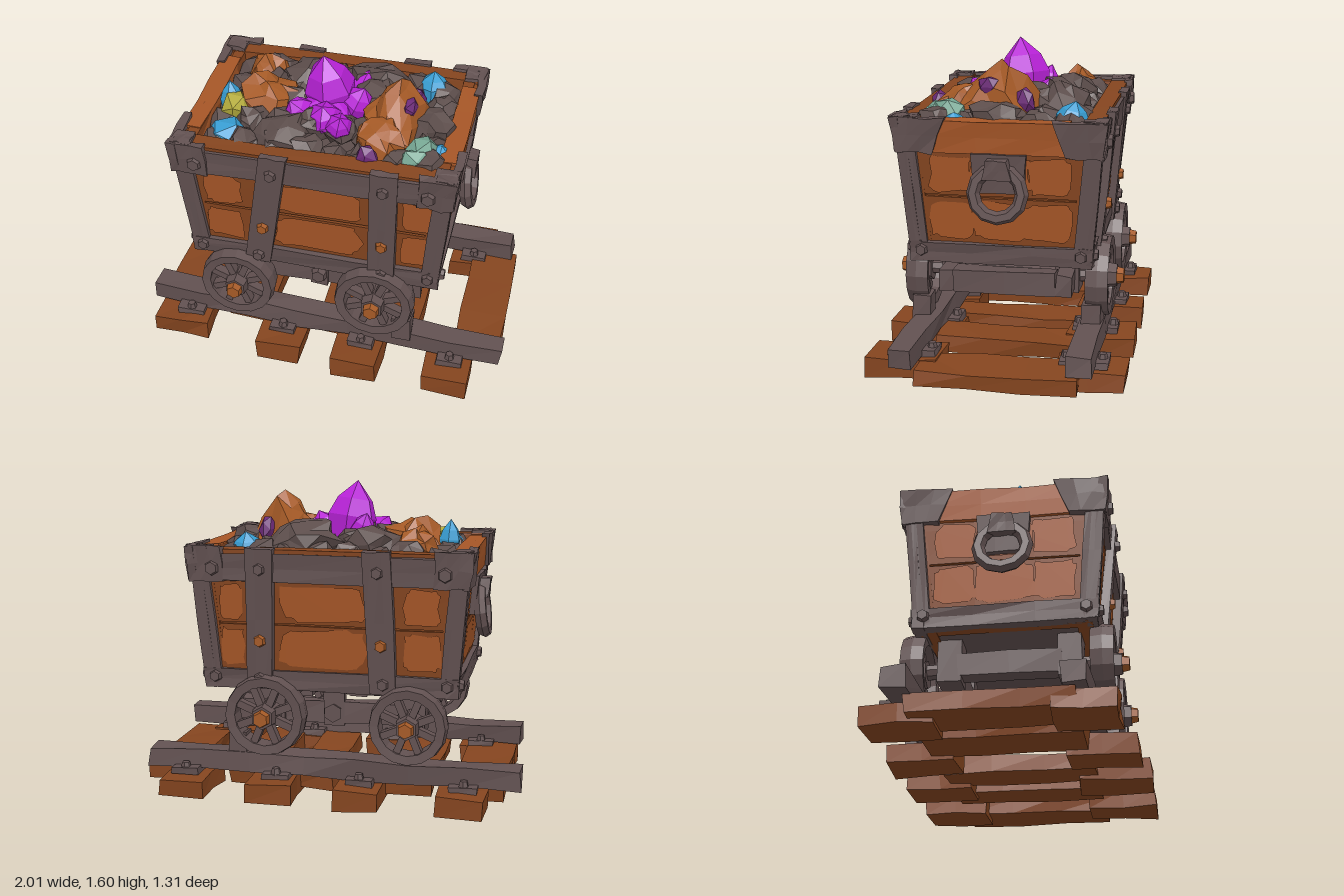
import * as THREE from 'three';

const mat = (name, color) => {
  const m = new THREE.MeshStandardMaterial({ color, flatShading: true });
  m.name = name;
  return m;
};
const lerp = THREE.MathUtils.lerp;

// Repeatable noise from a position, so coincident corners move together
const hash = (x, y, z, s) => {
  const v = Math.sin(x * 127.1 + y * 311.7 + z * 74.7 + s * 53.3) * 43758.5453;
  return v - Math.floor(v) - 0.5;
};
function chip(geo, amount, seed = 1) {
  const p = geo.attributes.position;
  for (let i = 0; i < p.count; i++) {
    const c = [p.getX(i), p.getY(i), p.getZ(i)].map((v) => Math.round(v * 1000) / 1000 + 0);
    p.setXYZ(i, ...c.map((v, k) => v + amount * hash(...c, seed + k)));
  }
  geo.computeVertexNormals();
  return geo;
}

export function createModel() {
  const M = {
    metal: mat('dark iron', 0x625151), wood: mat('warm wood', 0xa65627), darkWood: mat('dark wood', 0x85451f),
    ore: mat('copper ore', 0xa55a26), rock: mat('rock', 0x5c4d4b), purple: mat('purple crystal', 0xb722d6),
    violet: mat('deep violet crystal', 0x6c2a78), blue: mat('blue crystal', 0x389dd2),
    teal: mat('teal crystal', 0x76a693), yellow: mat('yellow crystal', 0xb3aa3c),
  };
  const model = new THREE.Group();
  model.name = 'mineCart';
  let seed = 0;
  const add = (parent, name, geo, material, x = 0, y = 0, z = 0) => {
    const m = new THREE.Mesh(geo, material);
    m.name = name;
    m.position.set(x, y, z);
    parent.add(m);
    return m;
  };
  // Rough-cut block between two corners
  const block = (parent, name, material, x0, x1, y0, y1, z0, z1, rough = 0.012) => {
    const w = x1 - x0, h = y1 - y0, d = z1 - z0;
    const g = new THREE.BoxGeometry(w, h, d, Math.ceil(w / 0.3), 1, Math.ceil(d / 0.3));
    return add(parent, name, chip(g, rough, seed++), material, (x0 + x1) / 2, (y0 + y1) / 2, (z0 + z1) / 2);
  };
  const bolt = (parent, x, y, z, material = M.metal, r = 0.035, len = 0.03) => {
    const b = add(parent, 'bolt', new THREE.CylinderGeometry(r * 0.75, r, len, 6), material, x, y, z);
    b.rotation.x = Math.PI / 2;
  };

  // Track: middle planks between the rails, staggered against end blocks
  const track = new THREE.Group();
  track.name = 'track';
  model.add(track);
  for (const [x0, x1] of [[-0.92, -0.66], [-0.55, -0.31], [-0.04, 0.18], [0.28, 0.51], [0.72, 0.965]]) {
    block(track, 'sleeper', M.darkWood, x0, x1, 0.04, 0.125, -0.42, 0.37, 0.02);
  }
  for (const [x0, x1, z0, z1] of [[-0.84, -0.6, -0.65, -0.3], [-0.32, -0.09, -0.65, -0.3], [0.13, 0.37, -0.65, -0.3],
    [0.59, 0.83, -0.64, -0.3], [-0.92, -0.62, 0.25, 0.55], [-0.32, -0.08, 0.25, 0.61], [0.1, 0.35, 0.27, 0.65],
    [0.59, 0.83, 0.28, 0.65]]) {
    block(track, 'sleeperEnd', M.darkWood, x0, x1, 0.015, 0.12, z0, z1, 0.02);
  }
  // Rails with chairs and spikes
  for (const [x, z, turn] of [[0.015, 0.395, -0.033], [-0.035, -0.44, -0.005]]) {
    const rail = block(track, 'rail', M.metal, x - 0.97, x + 0.97, 0.13, 0.235, z - 0.06, z + 0.06, 0.02);
    rail.rotation.y = turn;
    for (const sx of [-0.73, -0.2, 0.235, 0.72]) {
      const zc = z - sx * turn;
      block(track, 'railChair', M.metal, sx - 0.07, sx + 0.07, 0.115, 0.15, zc - 0.12, zc + 0.12);
      for (const s of [-1, 1]) {
        add(track, 'spike', new THREE.CylinderGeometry(0.02, 0.028, 0.035, 6), M.metal, sx, 0.16, zc + s * 0.09);
      }
    }
  }

  // Wheels
  const chassis = new THREE.Group();
  chassis.name = 'chassis';
  model.add(chassis);
  const rimProfile = [[0.155, -0.055], [0.205, -0.06], [0.213, 0], [0.203, 0.055], [0.155, 0.05], [0.155, -0.055]]
    .map(([r, y]) => new THREE.Vector2(r, y));
  for (const side of [1, -1]) {
    for (const [x, y, s] of [[-0.44, 0.425, 0.95], [0.3, 0.44, 1]]) {
      const wheel = new THREE.Group();
      wheel.name = 'wheel';
      wheel.position.set(x, y, side * 0.465);
      wheel.rotation.y = side > 0 ? 0 : Math.PI;
      wheel.scale.set(s, s, 1);
      chassis.add(wheel);
      add(wheel, 'wheelRim', new THREE.LatheGeometry(rimProfile, 16), M.metal).rotation.x = Math.PI / 2;
      for (let i = 0; i < 8; i++) {
        const a = ((i + 0.5) / 8) * Math.PI * 2;
        const spoke = add(wheel, 'spoke', new THREE.BoxGeometry(0.12, 0.038, 0.05), M.metal,
          Math.cos(a) * 0.11, Math.sin(a) * 0.11, 0.01);
        spoke.rotation.z = a;
      }
      bolt(wheel, 0, 0, 0.02, M.metal, 0.08, 0.13);
      bolt(wheel, 0, 0, 0.09, M.ore, 0.052, 0.06);
      // Axle bearings
      const b0 = side > 0 ? 0.24 : -0.36;
      block(chassis, 'axleBearing', M.metal, x - 0.07, x + 0.07, 0.36, 0.6, b0, b0 + 0.12);
    }
    block(chassis, 'sideBeam', M.metal, -0.5, 0.52, 0.38, 0.49, side * 0.3 - 0.04, side * 0.3 + 0.04);
    bolt(chassis, -0.03, 0.44, side * 0.35, M.metal, 0.05, 0.05);
    block(chassis, 'sideBeamPlate', M.metal, -0.08, 0.02, 0.37, 0.54, side * 0.3 - 0.045, side * 0.3 + 0.045);
    block(chassis, 'brakeShoe', M.metal, 0.4, 0.5, 0.2, 0.34, side * 0.44 - 0.05, side * 0.44 + 0.05);
  }
  for (const x of [-0.44, 0.3]) {
    const axle = add(chassis, 'axle', new THREE.CylinderGeometry(0.04, 0.04, 0.9, 8), M.metal, x, 0.435, 0);
    axle.rotation.x = Math.PI / 2;
  }
  for (const x of [-0.46, 0.48]) block(chassis, 'crossBeam', M.metal, x - 0.05, x + 0.05, 0.38, 0.5, -0.26, 0.26);

  // Flared tub: each wall has its own frame with x along it and z outward
  const tub = new THREE.Group();
  tub.name = 'tub';
  tub.position.x = -0.03;
  model.add(tub);
  const Y0 = 0.57, Y1 = 1.31;
  for (let k = 0; k < 4; k++) {
    const end = k % 2 === 1;
    const alongX = (y) => lerp(0.625, 0.69, (y - Y0) / (Y1 - Y0));
    const alongZ = (y) => lerp(0.425, 0.49, (y - Y0) / (Y1 - Y0));
    const [out, half] = end ? [alongX, alongZ] : [alongZ, alongX];
    const wall = new THREE.Group();
    wall.name = end ? 'endWall' : 'sideWall';
    wall.rotation.y = (k * Math.PI) / 2;
    tub.add(wall);
    // Slab leaning with the wall: bottom span, top span, heights, inner and outer depth
    const slab = (name, material, bottom, top, y0, y1, d0, d1, rough = 0.008) => {
      const g = new THREE.BoxGeometry(1, 1, 1, 3, 2, 1), p = g.attributes.position;
      for (let i = 0; i < p.count; i++) {
        const t = p.getY(i) + 0.5, y = lerp(y0, y1, t);
        const u = lerp(lerp(bottom[0], top[0], t), lerp(bottom[1], top[1], t), p.getX(i) + 0.5);
        p.setXYZ(i, u, y, out(y) + lerp(d0, d1, p.getZ(i) + 0.5));
      }
      return add(wall, name, chip(g, rough, seed++), material);
    };
    const span = (y, e = 0) => [-half(y) - e, half(y) + e];
    // Worn patch of lighter wood with an uneven outline
    const patch = (u0, u1, y0, y1) => {
      const pts = [];
      for (let i = 0; i < 18; i++) {
        const a = (i / 18) * Math.PI * 2, c = Math.cos(a), s = Math.sin(a);
        const r = 1 - 0.2 * (hash(i, u0, y0, k) + 0.5);
        pts.push(new THREE.Vector2((u0 + u1) / 2 + Math.sign(c) * Math.abs(c) ** 0.35 * r * (u1 - u0) / 2,
          (y0 + y1) / 2 + Math.sign(s) * Math.abs(s) ** 0.35 * r * (y1 - y0) / 2));
      }
      const g = new THREE.ShapeGeometry(new THREE.Shape(pts)), p = g.attributes.position;
      for (let i = 0; i < p.count; i++) p.setZ(i, out(p.getY(i)) + 0.007);
      g.computeVertexNormals();
      add(wall, 'wornWood', g, M.wood);
    };
    slab('innerWall', M.darkWood, span(Y0), span(1.29), Y0, 1.29, -0.08, -0.02, 0.004);
    slab('lowerPlank', M.darkWood, span(0.62), span(0.905), 0.62, 0.905, -0.03, 0, 0.004);
    slab('upperPlank', M.darkWood, span(0.915), span(1.28), 0.915, 1.28, -0.03, 0, 0.004);
    const bays = end ? [[-0.36, -0.13], [-0.16, 0.17], [0.13, 0.37]] : k ? [[-0.57, -0.44], [-0.27, 0.2], [0.37, 0.57]]
      : [[-0.57, -0.36], [-0.22, 0.27], [0.45, 0.62]];
    for (const [a, b] of bays) {
      patch(a, b, 0.685, 0.9);
      patch(a, b, 0.925, 1.125);
    }
    // Iron corners and bottom band
    slab('bottomBand', M.metal, span(0.57, 0.03), span(0.68, 0.025), 0.57, 0.67, -0.03, 0.028, 0.012);
    for (const s of [-1, 1]) {
      const edge = (y, e, w) => [half(y) + e, half(y) + e - w].map((v) => v * s).sort((a, b) => a - b);
      slab('cornerStrap', M.metal, edge(0.57, 0.025, 0.09), edge(1.28, 0.025, 0.09), 0.57, 1.28, -0.03, 0.026);
      slab('cornerCap', M.metal, edge(1.13, 0.035, 0.18), edge(1.31, 0.04, end ? 0.27 : 0.19),
        1.13, 1.31, -0.005, 0.04, 0.014);
      slab('cornerPost', M.metal, edge(1.15, 0.03, 0.11), edge(1.31, 0.03, 0.11), 1.15, 1.31, -0.075, 0.02, 0.016);
      bolt(wall, s * (half(0.63) - 0.03), 0.63, out(0.63) + 0.035);
      if (!end) bolt(wall, s * (half(1.2) - 0.09), 1.2, out(1.2) + 0.045, M.metal, 0.042);
    }
    if (end) {
      slab('endRim', M.wood, [-0.34, 0.34], [-0.34, 0.34], 1.135, 1.295, -0.08, 0.02);
      // Handle plate, lug and hanging ring
      slab('handlePlate', M.metal, [-0.125, 0.125], [-0.135, 0.135], 0.94, 1.14, -0.01, 0.04, 0.006);
      slab('handleLug', M.metal, [-0.07, 0.07], [-0.05, 0.05], 1.02, 1.12, 0.03, 0.09);
      const ring = add(wall, 'handleRing', new THREE.TorusGeometry(0.12, 0.034, 6, 12), M.metal, 0, 0.95, out(0.95) + 0.065);
      ring.rotation.x = -0.12;
    } else {
      slab('topBand', M.metal, span(1.13), span(1.28), 1.135, 1.275, -0.02, 0.03, 0.014);
      slab('rimBoard', M.darkWood, span(1.2), span(1.29), 1.2, 1.295, -0.085, 0.01, 0.01);
      // Slanted straps
      for (const [b, t] of k ? [[-0.36, -0.34], [0.28, 0.25]] : [[-0.3, -0.18], [0.36, 0.37]]) {
        slab('strap', M.metal, [b - 0.07, b + 0.065], [t - 0.07, t + 0.07], 0.58, 1.305, 0, 0.045);
        for (const [y, m] of [[0.63, M.metal], [0.83, M.ore], [1.2, M.metal]]) {
          bolt(wall, lerp(b, t, (y - 0.58) / 0.72), y, out(y) + 0.053, m);
        }
      }
    }
  }
  block(tub, 'floor', M.metal, -0.62, 0.62, 0.575, 0.63, -0.42, 0.42, 0.005);
  block(tub, 'rockBed', M.rock, -0.63, 0.63, 1.1, 1.2, -0.42, 0.42, 0.02);

  // Load of rocks and ore; taper narrows a rock towards its top
  const load = new THREE.Group();
  load.name = 'load';
  model.add(load);
  const rock = (name, material, x, y, z, rx, ry, rz, detail = 1, taper = 0) => {
    const g = chip(new THREE.IcosahedronGeometry(1, detail), detail ? 0.42 : 0.25, seed++), p = g.attributes.position;
    for (let i = 0; i < p.count; i++) {
      const w = 1 - taper * p.getY(i);
      p.setXYZ(i, p.getX(i) * w * rx, p.getY(i) * ry, p.getZ(i) * w * rz);
    }
    g.computeVertexNormals();
    const m = add(load, name, g, material, x, y, z);
    m.rotation.y = hash(x, y, z, 5) * 0.5;
  };
  for (let i = 0; i < 8; i++) {
    for (let j = 0; j < 5; j++) {
      const x = -0.56 + i * 0.152, z = -0.33 + j * 0.168, n = hash(i, j, 3, 2);
      const rise = 0.1 * (1 - Math.max(Math.abs(x / 0.6), Math.abs(z / 0.4)));
      rock('rock', M.rock, x + n * 0.02, 1.22 + rise + n * 0.04, z, 0.095 + n * 0.02, 0.09, 0.095, i % 2);
    }
  }
  for (const [x, y, z, rx, ry, rz] of [[0.14, 1.3, -0.24, 0.2, 0.12, 0.13], [-0.2, 1.28, -0.24, 0.16, 0.11, 0.13],
    [-0.22, 1.27, 0.28, 0.15, 0.11, 0.12], [0.5, 1.27, 0.04, 0.11, 0.11, 0.14], [0.15, 1.3, -0.08, 0.11, 0.12, 0.14]]) {
    rock('boulder', M.rock, x, y, z, rx, ry, rz);
  }
  rock('copperOre', M.ore, -0.37, 1.3, 0.01, 0.18, 0.13, 0.14, 1, 0.25);
  rock('copperOre', M.ore, -0.45, 1.31, -0.24, 0.1, 0.09, 0.09, 1, 0.2);
  rock('copperOre', M.ore, 0.31, 1.34, 0.06, 0.15, 0.18, 0.2, 1, 0.35);
  rock('copperOre', M.ore, 0.27, 1.31, 0.24, 0.13, 0.12, 0.14, 1, 0.2);

  // Crystals: six-sided points, with lean
  const crystal = (name, material, x, y, z, r, h, leanX = 0, leanZ = 0) => {
    const pts = [[0, 0], [0.75, 0.02], [1, 0.5], [0.72, 0.74], [0, 1]].map(([a, b]) => new THREE.Vector2(a * r, b * h));
    add(load, name, new THREE.LatheGeometry(pts, 6), material, x, y, z).rotation.set(leanX, 0, leanZ);
  };
  crystal('mainCrystal', M.purple, -0.03, 1.23, -0.03, 0.135, 0.385, 0.14, 0.13);
  rock('crystalBase', M.purple, -0.06, 1.31, 0.09, 0.15, 0.08, 0.15);
  for (const [x, z, r, h, lx, lz] of [[0.06, 0.02, 0.085, 0.19, 0, -0.4], [-0.04, 0.14, 0.09, 0.17, 0.4, 0],
    [-0.14, 0.11, 0.08, 0.17, 0.4, 0.5], [0.03, 0.18, 0.07, 0.16, 0.5, -0.2], [-0.1, -0.08, 0.07, 0.2, -0.3, 0.3],
    [0.06, -0.11, 0.06, 0.18, -0.4, -0.3]]) {
    crystal('smallCrystal', M.purple, x, 1.27, z, r, h, lx, lz);
  }
  rock('blueCrystal', M.blue, -0.52, 1.26, 0.3, 0.1, 0.07, 0.11, 0);
  crystal('blueCrystal', M.blue, -0.56, 1.2, 0.06, 0.06, 0.21, 0, 0.05);
  rock('yellowCrystal', M.yellow, -0.52, 1.3, 0.12, 0.08, 0.075, 0.085, 0);
  crystal('blueCrystal', M.blue, 0.43, 1.2, -0.31, 0.085, 0.17, -0.2, 0);
  crystal('blueCrystal', M.blue, 0.55, 1.2, 0.24, 0.075, 0.12, 0, -0.2);
  rock('tealCrystal', M.teal, 0.48, 1.29, 0.28, 0.09, 0.09, 0.1, 0);
  rock('tealCrystal', M.teal, 0.46, 1.28, 0.36, 0.09, 0.08, 0.06, 0);
  rock('violetCrystal', M.violet, 0.23, 1.3, 0.39, 0.06, 0.07, 0.05, 0);
  rock('violetCrystal', M.violet, 0.39, 1.35, -0.08, 0.045, 0.07, 0.06, 0);
  rock('violetCrystal', M.violet, 0.38, 1.42, 0.1, 0.045, 0.05, 0.06, 0);
  return model;
}
